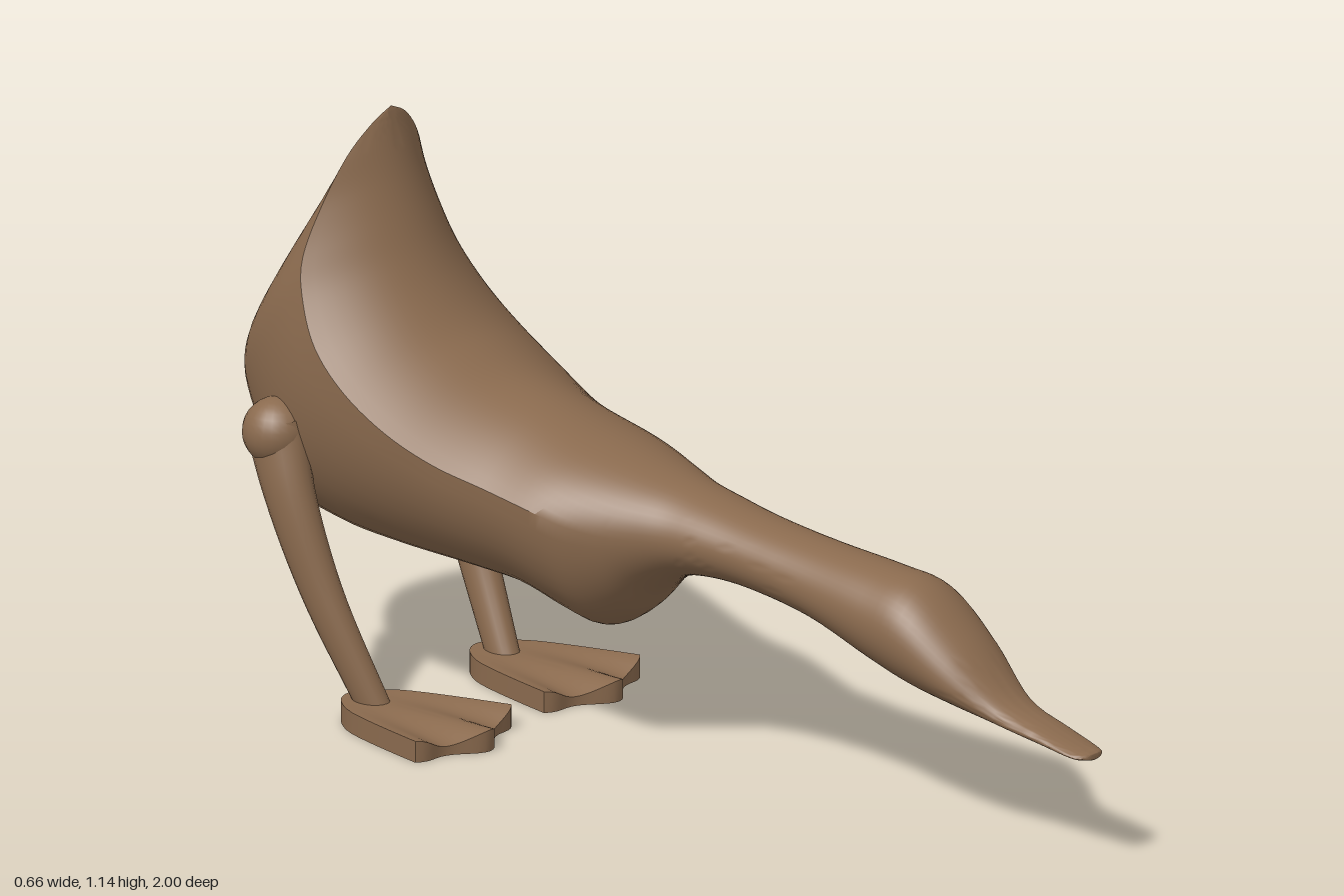
import * as THREE from 'three';
import { toCreasedNormals } from 'three/addons/utils/BufferGeometryUtils.js';

// Neck and chest stations: z, top y, side y, half width, bottom y
const NECK = [
  [1, .216, .213, 0, .21], [.995, .222, .215, .025, .208], [.97, .228, .217, .04, .21],
  [.9, .25, .235, .047, .22], [.8, .29, .26, .058, .238], [.7, .39, .315, .09, .255],
  [.6, .47, .37, .105, .272], [.5, .487, .395, .1, .302], [.35, .5, .425, .09, .355],
  [.2, .518, .45, .09, .38], [.1, .537, .46, .1, .383], [.03, .552, .46, .113, .37],
  [-.03, .567, .46, .14, .33], [-.08, .58, .465, .165, .275], [-.14, .595, .48, .192, .24],
  [-.2, .61, .5, .208, .253],
];
// Back and tail stations, fanning round to the tip: top z,y / rim z,y,half width / underside z,y
const TAIL = [
  [-.3, .64, -.3, .525, .22, -.3, .285], [-.4, .67, -.4, .555, .243, -.42, .297],
  [-.48, .715, -.5, .6, .26, -.6, .305], [-.53, .755, -.6, .66, .262, -.75, .318],
  [-.575, .81, -.68, .73, .25, -.88, .36], [-.61, .87, -.73, .81, .225, -.98, .5],
  [-.64, .94, -.75, .88, .2, -1, .6], [-.665, 1.01, -.742, .97, .155, -.94, .725],
  [-.685, 1.08, -.722, 1.06, .105, -.83, .87], [-.695, 1.12, -.706, 1.115, .05, -.745, 1.03],
  [-.7, 1.14, -.7, 1.14, 0, -.7, 1.14],
];

// Skin over rings of equal length that run clockwise seen from the start
function loft(rings) {
  const n = rings[0].length, index = [];
  for (let i = 0; i < rings.length - 1; i++) {
    for (let j = 0; j < n; j++) {
      const a = i * n + j, b = i * n + (j + 1) % n;
      index.push(a, b, a + n, b, b + n, a + n);
    }
  }
  const geo = new THREE.BufferGeometry().setFromPoints(rings.flat());
  geo.setIndex(index);
  return geo;
}

// Body: rounded underside and a flatter back that meet along a rim
function bodyGeometry() {
  const rows = [...NECK.map(([z, t, r, w, b]) => [z, t, z, r, w, z, b]), ...TAIL];
  const curve = f => new THREE.CatmullRomCurve3(rows.map(f), false, 'catmullrom', 0.5);
  const top = curve(r => new THREE.Vector3(0, r[1], r[0]));
  const rim = curve(r => new THREE.Vector3(r[4], r[3], r[2]));
  const low = curve(r => new THREE.Vector3(0, r[6], r[5]));
  const rings = [], steps = (rows.length - 1) * 5, q = 12;
  for (let i = 0; i <= steps; i++) {
    const t = i / steps;
    const T = top.getPoint(t), R = rim.getPoint(t), B = low.getPoint(t);
    const flat = THREE.MathUtils.smoothstep(-R.z, 0, 0.35) || (t > 0.7 ? 1 : 0);
    const half = [];
    for (let j = 0; j <= 2 * q; j++) {
      const upper = j <= q, s = upper ? j / q : (j - q) / q, a = s * Math.PI / 2;
      const p = new THREE.Vector3();
      if (upper) {
        p.lerpVectors(T, R, THREE.MathUtils.lerp(1 - Math.cos(a), s * s, flat));
        p.x = Math.max(0, R.x) * THREE.MathUtils.lerp(Math.sin(a), s, flat);
      } else {
        p.lerpVectors(R, B, Math.sin(a));
        p.x = Math.max(0, R.x) * Math.cos(a);
      }
      half.push(p);
    }
    const mirror = half.slice(1, -1).reverse().map(p => new THREE.Vector3(-p.x, p.y, p.z));
    rings.push([...half, ...mirror]);
  }
  return toCreasedNormals(loft(rings), 0.6);
}

// Leg: tapering round limb from hip to foot
function legGeometry(side) {
  const path = new THREE.CatmullRomCurve3([
    [.215, .55, -.8], [.232, .43, -.757], [.222, .24, -.685], [.19, .02, -.58],
  ].map(([x, y, z]) => new THREE.Vector3(x * side, y, z)));
  const rings = [];
  for (let i = 0; i <= 20; i++) {
    const t = i / 20, c = path.getPoint(t);
    const r = THREE.MathUtils.lerp(.062, .031, Math.pow(t, 0.7));
    const ring = [];
    for (let j = 0; j < 20; j++) {
      const a = j / 20 * Math.PI * 2;
      ring.push(new THREE.Vector3(c.x + r * 0.9 * Math.cos(a), c.y + r * 0.35 * Math.sin(a), c.z + r * 1.05 * Math.sin(a)));
    }
    rings.push(ring.reverse());
  }
  // rings run downwards, so the order is turned to face outwards
  const geo = loft(rings.map(r => r.reverse()));
  const idx = geo.index.array;
  for (let i = 0; i < idx.length; i += 3) [idx[i], idx[i + 1]] = [idx[i + 1], idx[i]];
  geo.computeVertexNormals();
  const p = geo.attributes.position, nrm = geo.attributes.normal;
  // guard: make sure the skin faces away from the limb's axis
  const axis = path.getPoint(0.5), k = 10 * 20;
  const out = (p.getX(k) - axis.x) * nrm.getX(k) + (p.getZ(k) - axis.z) * nrm.getZ(k);
  if (out < 0) {
    for (let i = 0; i < idx.length; i += 3) [idx[i], idx[i + 1]] = [idx[i + 1], idx[i]];
    geo.computeVertexNormals();
  }
  return geo;
}

// Foot: flat slab widened to three toes with sunken webs between them
function footGeometry(side) {
  const geo = new THREE.BoxGeometry(2, 1, 1, 24, 1, 10);
  const p = geo.attributes.position;
  for (let i = 0; i < p.count; i++) {
    const u = p.getX(i), v = p.getZ(i) + 0.5, web = Math.sin(Math.PI * u) ** 2;
    const back = -.65 + .06 * u * u, front = -.305 - .065 * u * u - .03 * web;
    p.setXYZ(i,
      side * .19 + u * (.075 + .067 * Math.pow(v, 0.8)),
      p.getY(i) > 0 ? .042 - .024 * v * v * web : 0,
      THREE.MathUtils.lerp(back, front, v));
  }
  return toCreasedNormals(geo, 0.6);
}

export function createModel() {
  const model = new THREE.Group();
  model.name = 'stretchingBird';
  const brown = new THREE.MeshStandardMaterial({ color: 0x8a6a4e });
  brown.name = 'brown';
  const add = (name, geo) => {
    const mesh = new THREE.Mesh(geo, brown);
    mesh.name = name;
    model.add(mesh);
    return mesh;
  };

  add('body', bodyGeometry());
  for (const [label, side] of [['left', 1], ['right', -1]]) {
    add(label + 'Hip', new THREE.SphereGeometry(.066, 24, 16)).position.set(side * .218, .535, -.797);
    add(label + 'Leg', legGeometry(side));
    add(label + 'Foot', footGeometry(side));
  }
  return model;
}
